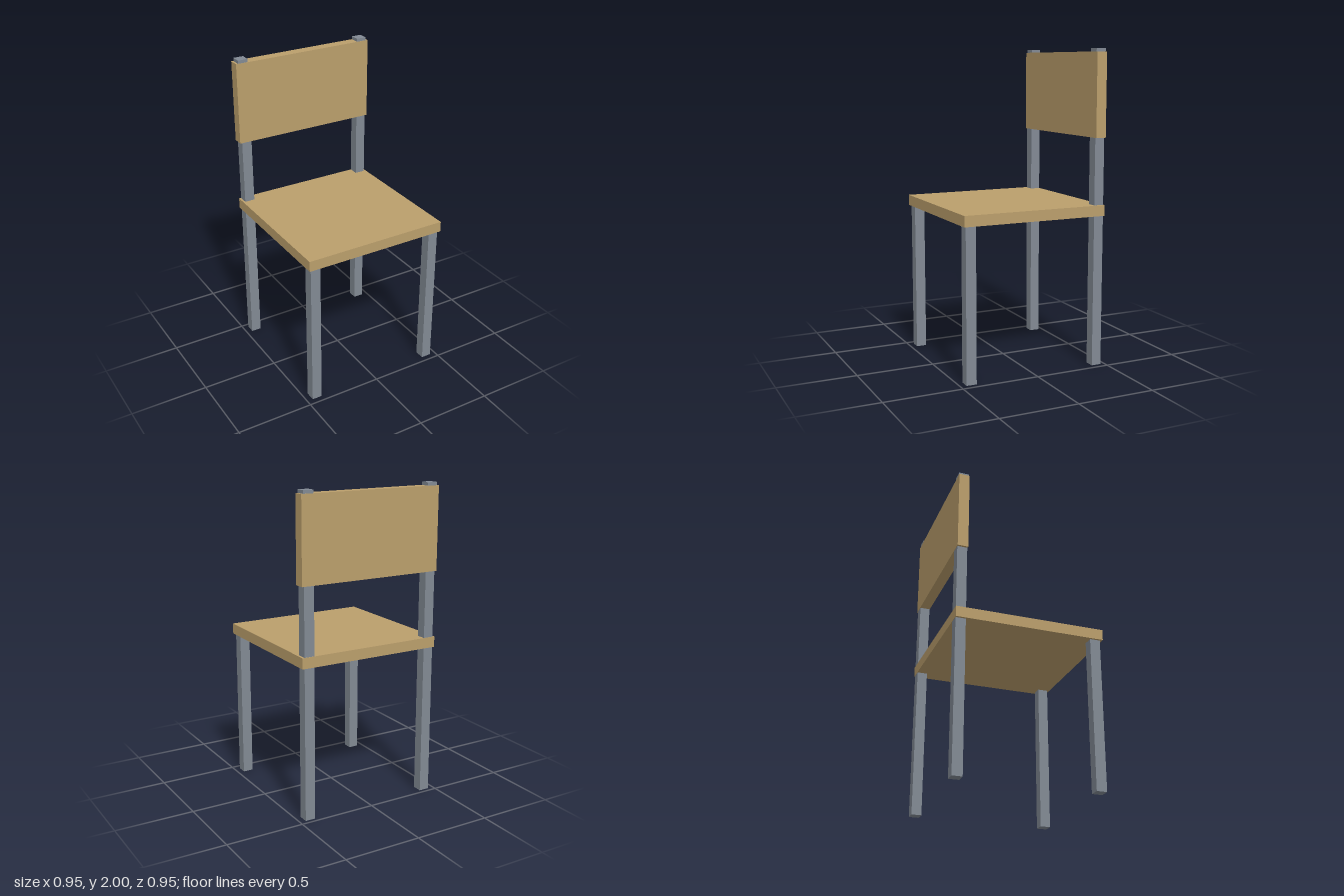
import * as THREE from 'three';

export function createModel() {
  const chair = new THREE.Group();
  chair.name = 'chair';

  const wood = new THREE.MeshStandardMaterial({ color: 0xbb9f6c });
  wood.name = 'wood';
  const metal = new THREE.MeshStandardMaterial({ color: 0x828a94 });
  metal.name = 'greyMetal';

  // Box given by its centre in x and z and its bottom and top heights
  function box(name, material, width, depth, bottom, top, x, z) {
    const mesh = new THREE.Mesh(new THREE.BoxGeometry(width, top - bottom, depth), material);
    mesh.name = name;
    mesh.position.set(x, (bottom + top) / 2, z);
    chair.add(mesh);
  }

  // Seat and backrest panels
  box('seat', wood, 0.95, 0.95, 0.967, 1.035, 0, 0);
  box('backrest', wood, 0.95, 0.068, 1.455, 1.98, 0, -0.441);

  // Front legs stop under the seat; back posts run up through the backrest
  for (const [side, x] of [['left', 0.428], ['right', -0.428]]) {
    box(side + 'FrontLeg', metal, 0.066, 0.066, 0, 0.968, x, 0.428);
    box(side + 'BackPost', metal, 0.066, 0.064, 0, 2, x, -0.441);
  }

  return chair;
}
